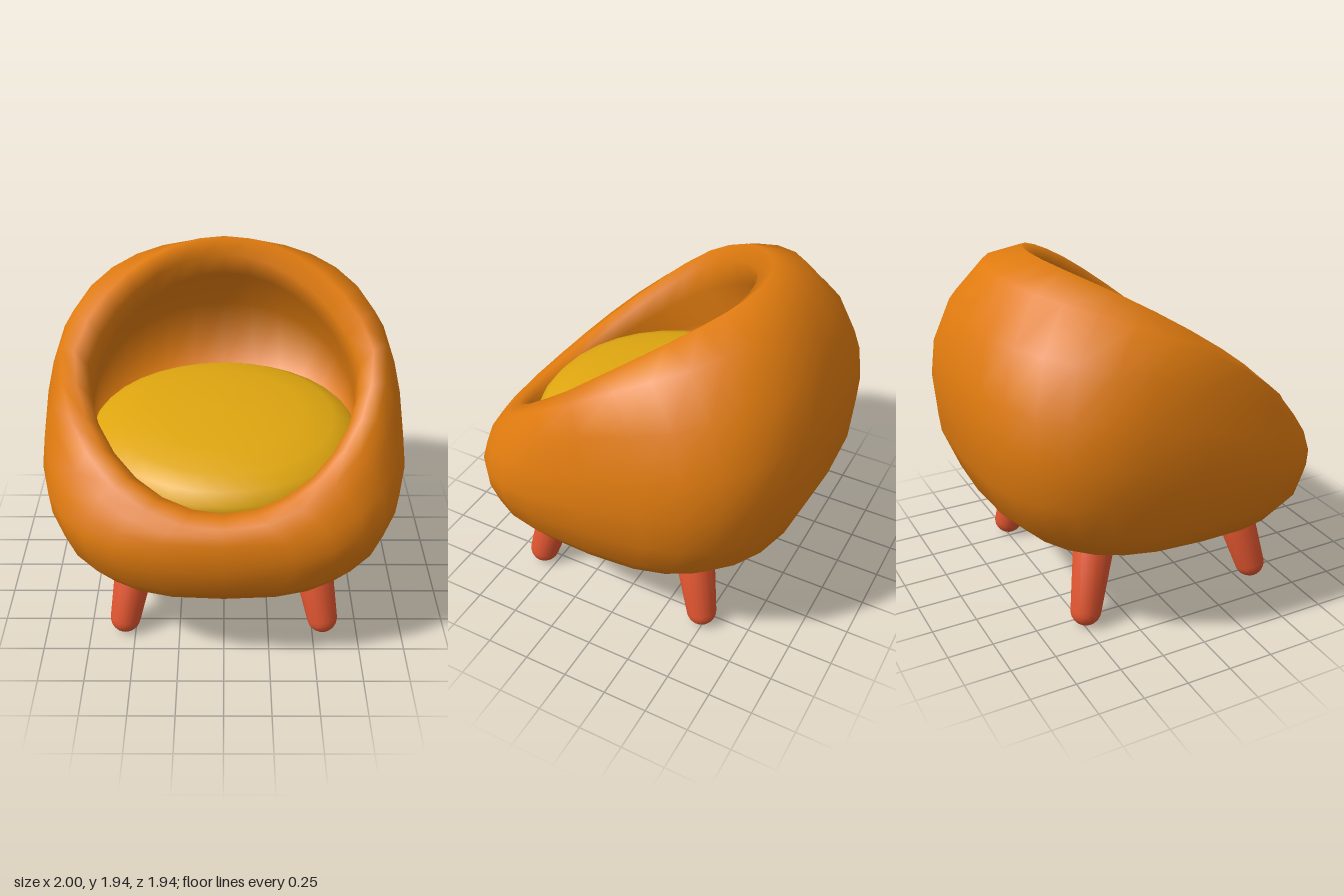
import * as THREE from 'three';

const orange = new THREE.MeshStandardMaterial({ color: 0xe07b0f });
const yellow = new THREE.MeshStandardMaterial({ color: 0xdfa610 });
const red = new THREE.MeshStandardMaterial({ color: 0xe05530 });
orange.name = 'orangeShell';
yellow.name = 'yellowCushion';
red.name = 'redLegs';

// Smooth closed surface through rings, with a pole at each end.
// Ring: [front z, front y, back z, back y, side x, side y, squareness, back taper]
function loft(rings, bottom, top, segments) {
  const pos = [...bottom];
  const index = [];
  const soft = (v, e) => Math.sign(v) * Math.abs(v) ** e;
  for (const [fz, fy, bz, by, sx, sy, e, taper] of rings) {
    for (let j = 0; j < segments; j++) {
      const a = (j / segments) * Math.PI * 2;
      const c = soft(Math.cos(a), e), s = soft(Math.sin(a), e);
      const x = sx * c * (1 + taper * Math.min(0, s));
      const y = sy * (1 - s * s) + ((fy + by) / 2) * s * s + ((fy - by) / 2) * s;
      pos.push(x, y, (fz + bz) / 2 + ((fz - bz) / 2) * s);
    }
  }
  pos.push(...top);
  const last = rings.length * segments + 1;
  const at = (i, j) => 1 + i * segments + (j % segments);
  for (let j = 0; j < segments; j++) {
    index.push(0, at(0, j), at(0, j + 1));
    for (let i = 0; i < rings.length - 1; i++) {
      index.push(at(i, j), at(i + 1, j), at(i, j + 1));
      index.push(at(i, j + 1), at(i + 1, j), at(i + 1, j + 1));
    }
    index.push(last, at(rings.length - 1, j + 1), at(rings.length - 1, j));
  }
  const g = new THREE.BufferGeometry();
  g.setAttribute('position', new THREE.Float32BufferAttribute(pos, 3));
  g.setIndex(index);
  g.computeVertexNormals();
  return g;
}

function add(group, name, geometry, material) {
  const mesh = new THREE.Mesh(geometry, material);
  mesh.name = name;
  group.add(mesh);
  return mesh;
}

export function createModel() {
  const model = new THREE.Group();
  model.name = 'armchair';

  // Rounded shell: underside, outer wall, rim, then the inner wall
  const outside = [
    [0.30, 0.35, -0.25, 0.36, 0.30, 0.36, 0.85, 0],
    [0.65, 0.38, -0.50, 0.41, 0.62, 0.40, 0.78, 0],
    [0.87, 0.46, -0.72, 0.50, 0.82, 0.50, 0.74, 0],
    [0.95, 0.57, -0.86, 0.65, 0.93, 0.66, 0.72, 0],
    [0.97, 0.70, -0.95, 0.88, 0.985, 0.85, 0.70, 0],
    [0.97, 0.78, -0.97, 1.15, 1.0, 1.02, 0.70, 0],
    [0.955, 0.86, -0.955, 1.36, 0.98, 1.22, 0.74, 0],
    [0.93, 0.90, -0.88, 1.61, 0.93, 1.42, 0.82, 0.05],
    [0.90, 0.93, -0.71, 1.85, 0.87, 1.56, 0.92, 0.14],
  ];
  const inside = [
    [0.85, 0.95, -0.51, 1.94, 0.79, 1.56, 1, 0.22],
    [0.79, 0.95, -0.43, 1.86, 0.72, 1.48, 1, 0.22],
    [0.75, 0.90, -0.48, 1.73, 0.71, 1.34, 1, 0.15],
    [0.74, 0.82, -0.70, 1.45, 0.74, 1.15, 0.95, 0.05],
    [0.70, 0.75, -0.78, 1.00, 0.74, 0.90, 0.9, 0],
  ];
  add(model, 'shell', loft([...outside, ...inside], [0, 0.35, 0.05], [0, 0.8, 0], 28), orange);

  // Domed seat cushion
  const cushionProfile = [[0, 0.8], [0.7, 0.82], [0.78, 0.9], [0.77, 0.97], [0.72, 1.03],
    [0.62, 1.08], [0.45, 1.115], [0.22, 1.135], [0, 1.14]].map(([r, y]) => new THREE.Vector2(r, y));
  add(model, 'cushion', new THREE.LatheGeometry(cushionProfile, 32), yellow);

  // Four splayed, tapered legs with rounded feet
  const foot = [];
  for (let i = 0; i <= 6; i++) {
    const a = (i / 6) * Math.PI / 2;
    foot.push(new THREE.Vector2(0.085 * Math.sin(a), -0.085 * Math.cos(a)));
  }
  const legGeometry = new THREE.LatheGeometry([...foot, new THREE.Vector2(0.12, 0.48), new THREE.Vector2(0, 0.48)], 20);
  for (const side of [1, -1]) {
    for (const [name, footZ, topZ] of [['frontLeg', 0.58, 0.46], ['backLeg', -0.48, -0.37]]) {
      const low = new THREE.Vector3(side * 0.555, 0.085, footZ);
      const axis = new THREE.Vector3(side * 0.465, 0.55, topZ).sub(low).normalize();
      const leg = add(model, (side > 0 ? 'left ' : 'right ') + name, legGeometry, red);
      leg.position.copy(low);
      leg.quaternion.setFromUnitVectors(new THREE.Vector3(0, 1, 0), axis);
    }
  }
  return model;
}
